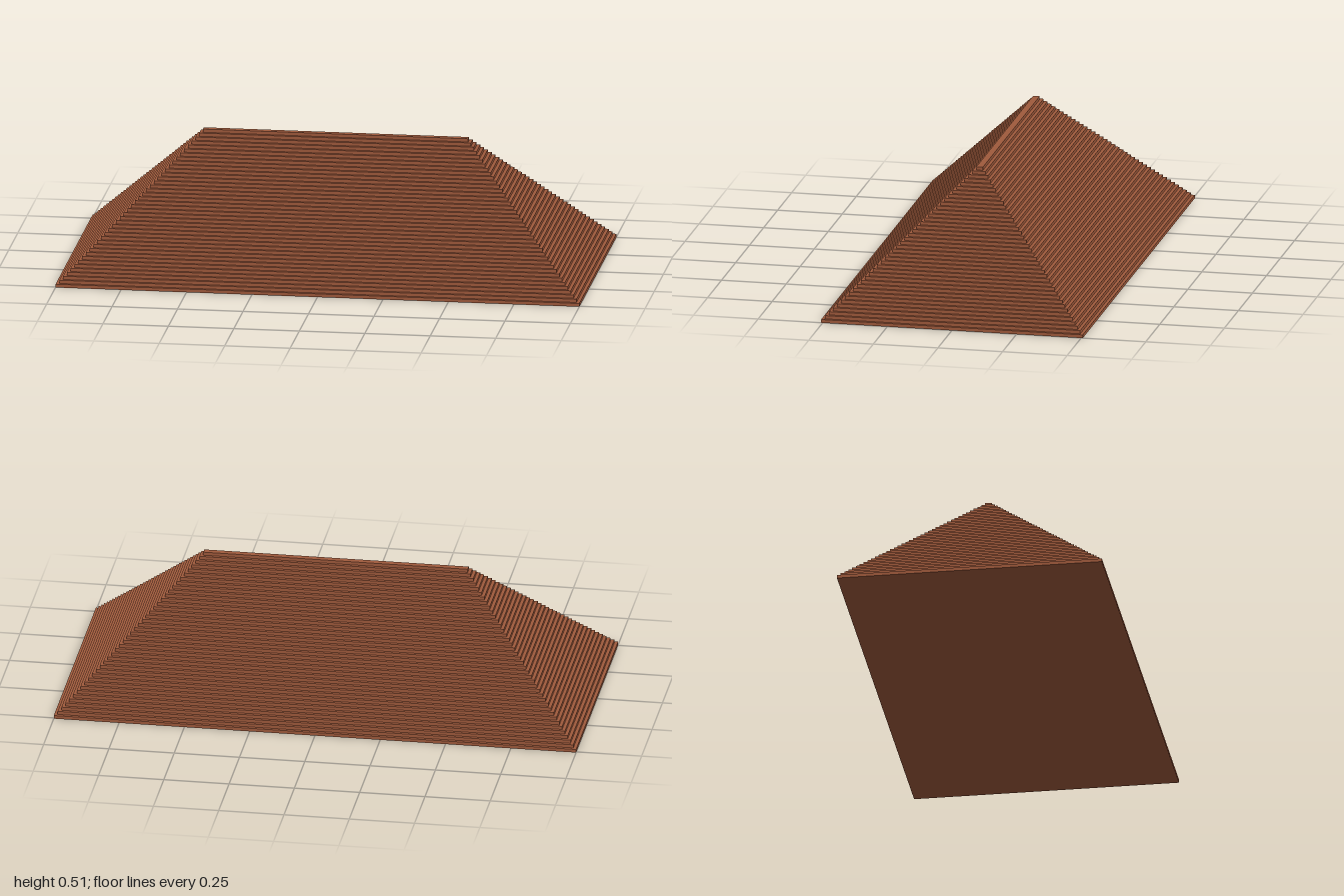
import * as THREE from 'three';

const LAYERS = 40;
const STEP = 1 / 79; // rise and run of every step

export function createModel() {
  const model = new THREE.Group();
  model.name = 'steppedHipRoof';

  const terracotta = new THREE.MeshStandardMaterial({ color: 0xa05a3c });
  terracotta.name = 'terracotta';

  // Stacked courses, each one step smaller on all four sides, ending in a ridge
  for (let i = 0; i < LAYERS; i++) {
    const width = 2 * (79 - i) * STEP;
    const depth = 2 * (LAYERS - i) * STEP;
    const course = new THREE.Mesh(new THREE.BoxGeometry(width, STEP, depth), terracotta);
    course.name = i === LAYERS - 1 ? 'ridge' : `roofCourse${i + 1}`;
    course.position.y = (i + 0.5) * STEP;
    model.add(course);
  }
  return model;
}
